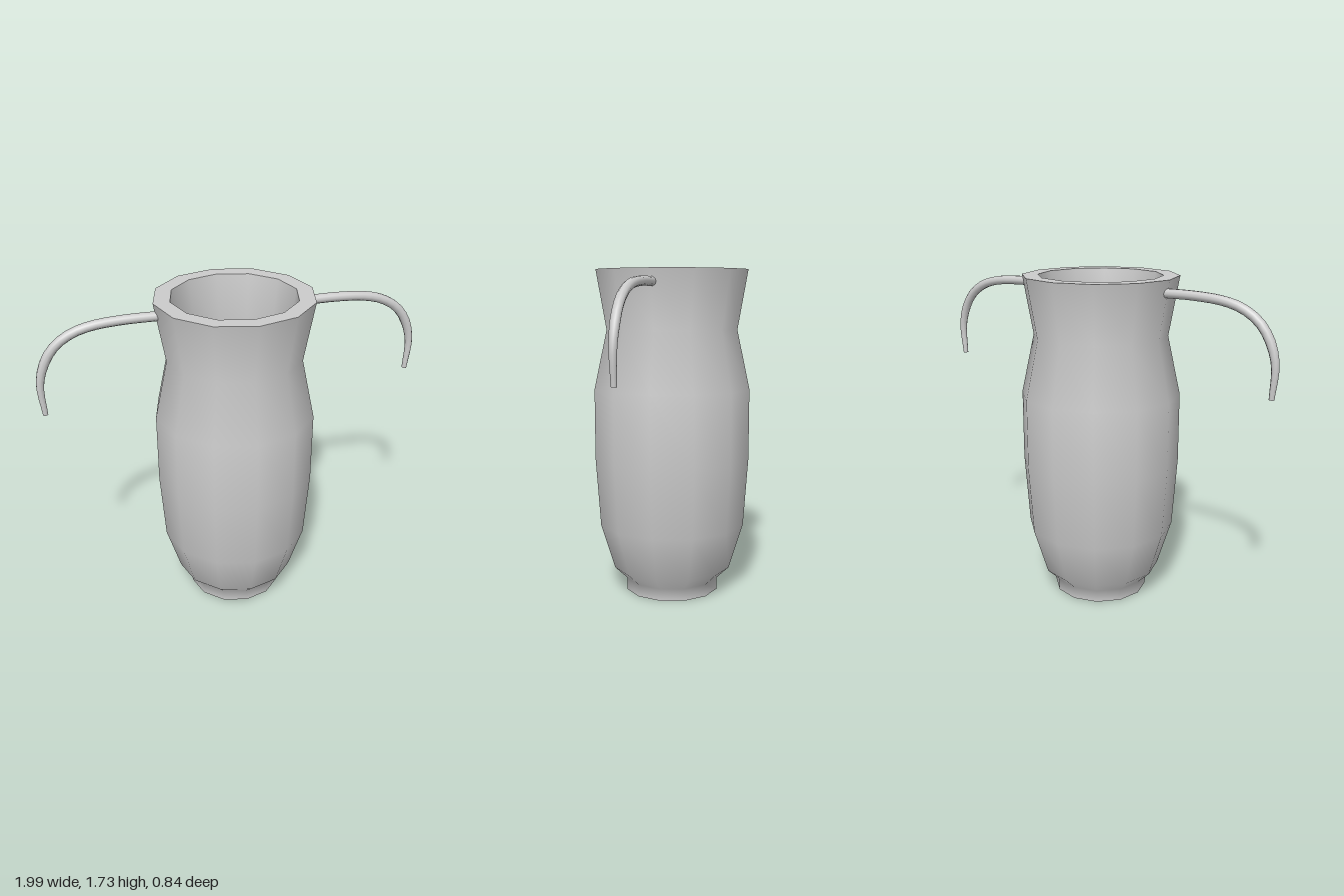
import * as THREE from 'three';

const SIDES = 12;
const material = new THREE.MeshStandardMaterial({ color: 0xcccccc });

// Twelve-sided turned surface; each [radius, height] run is smooth, edges between runs are sharp
function turned(name, profile) {
  const points = profile.map(([r, y]) => new THREE.Vector2(r, y));
  const mesh = new THREE.Mesh(new THREE.LatheGeometry(points, SIDES), material);
  mesh.name = name;
  return mesh;
}

// Curved arm that narrows towards its hanging tip
function createHandle(name) {
  const path = new THREE.CatmullRomCurve3([
    [0.36, 1.665], [0.55, 1.665], [0.7, 1.653], [0.8, 1.625], [0.885, 1.57],
    [0.942, 1.49], [0.975, 1.38], [0.967, 1.215],
  ].map(([x, y]) => new THREE.Vector3(x, y, 0)));
  const steps = 20, sides = 10, radius = 0.024, tip = 0.55;
  const geometry = new THREE.TubeGeometry(path, steps, radius, sides);
  const pos = geometry.attributes.position;
  const v = new THREE.Vector3();
  for (let i = 0; i <= steps; i++) {
    const t = i / steps;
    const centre = path.getPointAt(t);
    const scale = 1 - (1 - tip) * THREE.MathUtils.clamp((t - 0.7) / 0.3, 0, 1);
    for (let j = 0; j <= sides; j++) {
      const k = i * (sides + 1) + j;
      v.fromBufferAttribute(pos, k).sub(centre).multiplyScalar(scale).add(centre);
      pos.setXYZ(k, v.x, v.y, v.z);
    }
  }
  const handle = new THREE.Group();
  handle.name = name;
  const arm = new THREE.Mesh(geometry, material);
  arm.name = 'handleArm';
  // Flat end closing the tip
  const cap = new THREE.Mesh(new THREE.CircleGeometry(radius * tip, sides), material);
  cap.name = 'handleTip';
  cap.position.copy(path.getPointAt(1));
  cap.quaternion.setFromUnitVectors(new THREE.Vector3(0, 0, 1), path.getTangentAt(1));
  handle.add(arm, cap);
  return handle;
}

export function createModel() {
  const model = new THREE.Group();
  model.name = 'vase';

  // Hollow body
  model.add(
    turned('base', [[0, 0], [0.253, 0]]),
    turned('outerWall', [
      [0.253, 0], [0.253, 0.065], [0.32, 0.13], [0.395, 0.375],
      [0.42, 0.74], [0.42, 1.11], [0.352, 1.42], [0.406, 1.73],
    ]),
    turned('rim', [[0.406, 1.73], [0.322, 1.73]]),
    turned('innerWall', [
      [0.322, 1.73], [0.278, 1.42], [0.34, 1.11], [0.34, 0.74],
      [0.315, 0.375], [0.25, 0.15],
    ]),
    turned('innerFloor', [[0.25, 0.15], [0, 0.15]]),
  );

  // Handles on both sides
  const left = createHandle('leftHandle');
  const right = createHandle('rightHandle');
  right.rotation.y = Math.PI;
  model.add(left, right);
  return model;
}
